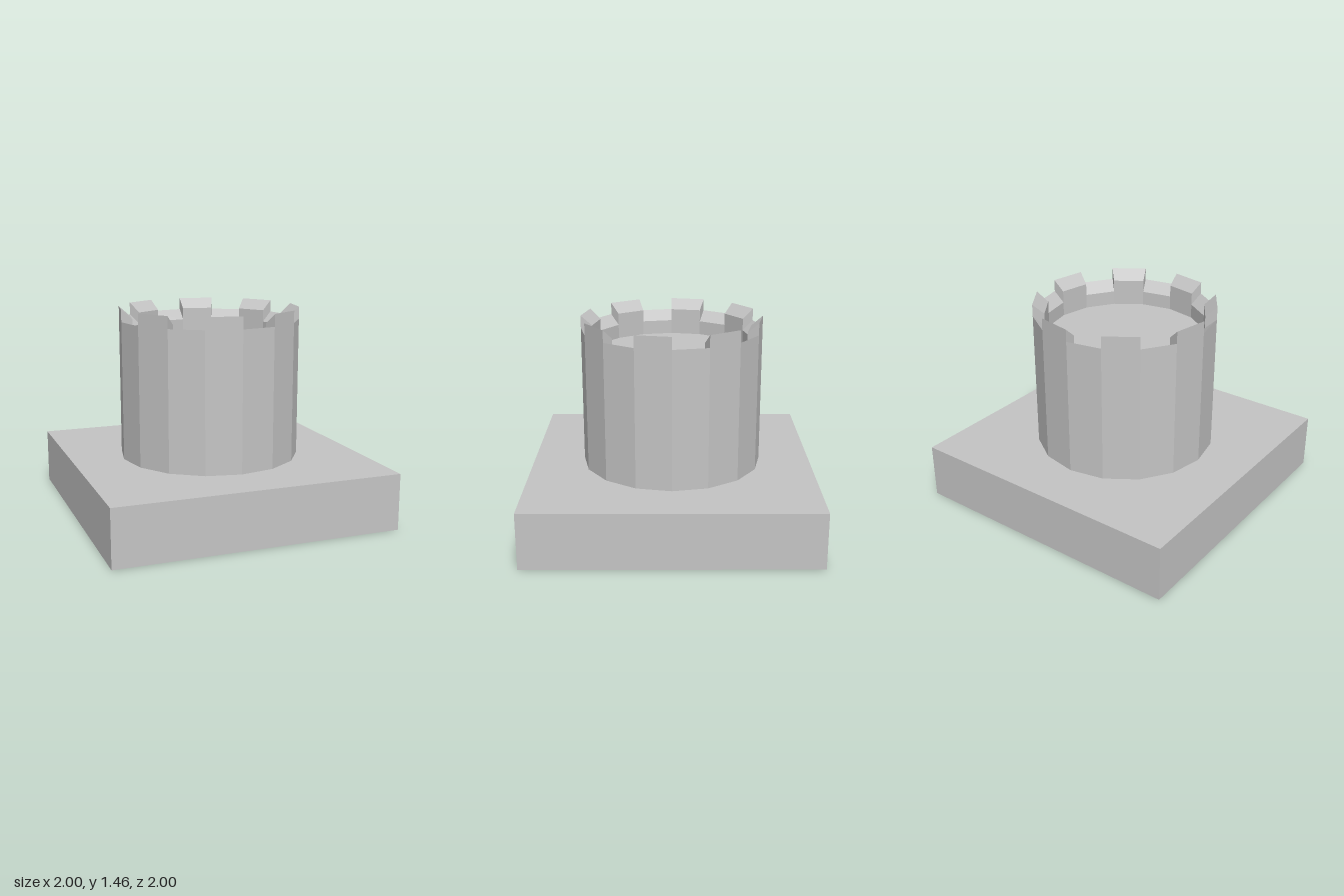
import * as THREE from 'three';

const SIDES = 16, STEP = (Math.PI * 2) / SIDES;
const OUTER = 0.64, INNER = 0.56;
const BASE_H = 0.395, FLOOR_Y = 1.2;
const HIGH = 1.455, LOW = 1.37, SLOPE = 0.07; // rim heights, drop towards the inside

export function createModel() {
  const stone = new THREE.MeshStandardMaterial({ color: 0xc4c4c4, flatShading: true, side: THREE.DoubleSide });
  stone.name = 'grey stone';

  const model = new THREE.Group();
  model.name = 'tower';
  const add = (name, geometry, parent = model) => {
    const mesh = new THREE.Mesh(geometry, stone);
    mesh.name = name;
    parent.add(mesh);
    return mesh;
  };

  // Square plinth
  add('base', new THREE.BoxGeometry(2, BASE_H, 2)).position.y = BASE_H / 2;

  // Sunken floor inside the parapet
  const floor = add('towerFloor', new THREE.CircleGeometry(INNER, SIDES));
  floor.rotation.x = -Math.PI / 2;
  floor.position.y = FLOOR_Y;

  // Wall panels, alternating notch and merlon, with inward-sloping tops
  const wall = new THREE.Group();
  wall.name = 'wall';
  model.add(wall);
  for (let i = 0; i < SIDES; i++) {
    const merlon = i % 2 === 1;
    const top = merlon ? HIGH : LOW;
    const profile = [
      [OUTER, BASE_H], [OUTER, top], [INNER, top - SLOPE], [INNER, FLOOR_Y],
    ].map(([r, y]) => new THREE.Vector2(r, y));
    add(merlon ? 'merlonPanel' : 'notchPanel', new THREE.LatheGeometry(profile, 1, i * STEP, STEP), wall);
  }

  // Upright cheeks where merlons meet notches
  const cheek = new THREE.ShapeGeometry(new THREE.Shape([
    [INNER, LOW - SLOPE], [OUTER, LOW], [OUTER, HIGH], [INNER, HIGH - SLOPE],
  ].map(([r, y]) => new THREE.Vector2(r, y))));
  for (let i = 0; i < SIDES; i++) {
    add('merlonCheek', cheek, wall).rotation.y = i * STEP - Math.PI / 2;
  }

  return model;
}
